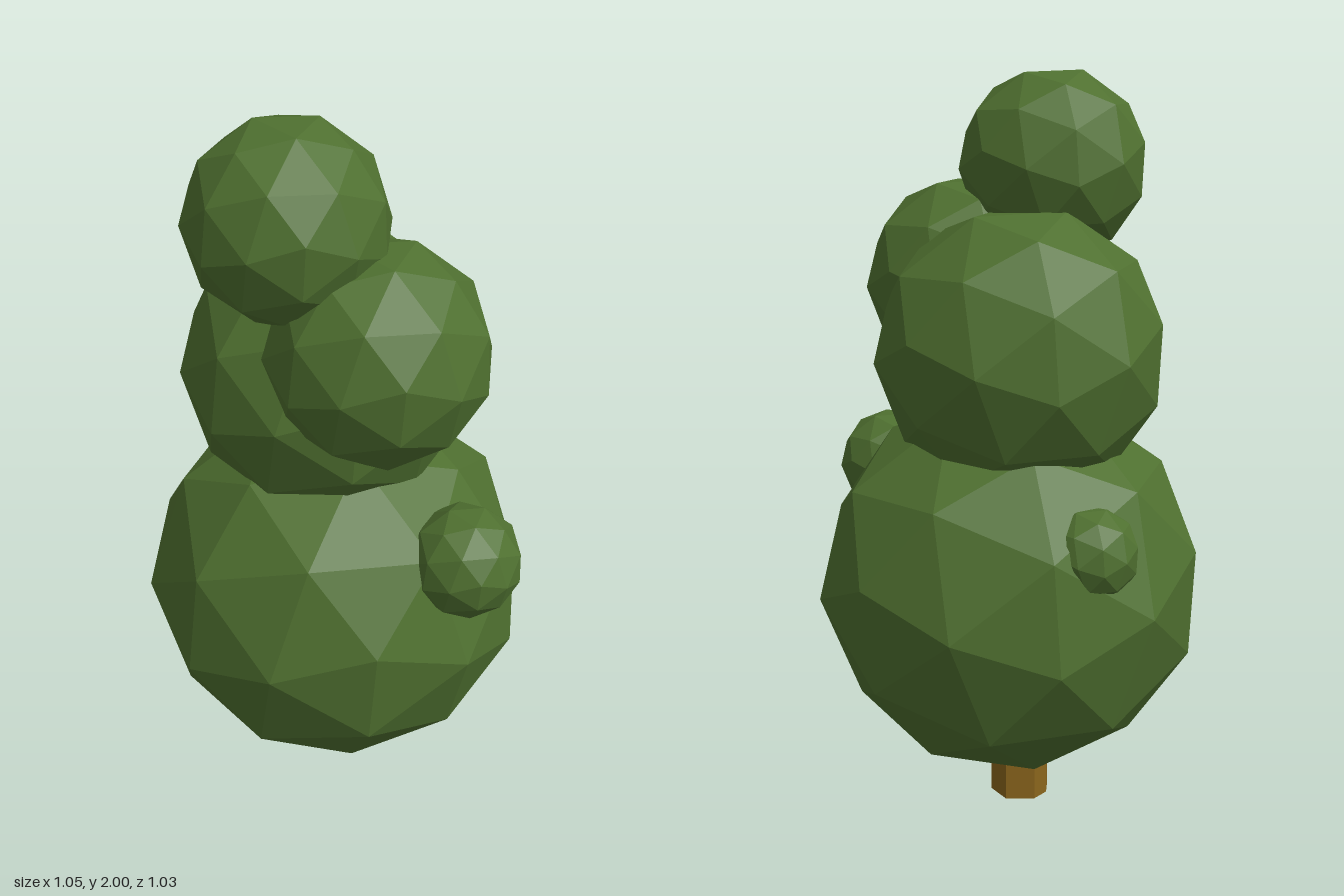
import * as THREE from 'three';

export function createModel() {
  const tree = new THREE.Group();
  tree.name = 'tree';
  const leaf = new THREE.MeshStandardMaterial({ color: 0x4f7030, flatShading: true });
  const bark = new THREE.MeshStandardMaterial({ color: 0x8a651c, flatShading: true });

  // One faceted ball, tilted once and reused for every clump
  const ball = new THREE.IcosahedronGeometry(1, 1);
  ball.applyMatrix4(new THREE.Matrix4().makeBasis(
    new THREE.Vector3(0.977, -0.042, -0.21),
    new THREE.Vector3(0.116, 0.932, 0.344),
    new THREE.Vector3(0.181, -0.361, 0.915)
  ));

  // Foliage clumps: name, radius, centre
  const clumps = [
    ['lowerFoliage', 0.535, 0, 0.62, 0],
    ['middleFoliage', 0.395, -0.025, 1.27, -0.05],
    ['upperSideFoliage', 0.293, 0.107, 1.435, 0.18],
    ['topFoliage', 0.26, -0.117, 1.756, 0.115],
    ['smallFrontFoliage', 0.153, 0.342, 0.885, 0.3],
    ['smallBackFoliage', 0.127, -0.195, 0.8, -0.355],
  ];
  for (const [name, r, x, y, z] of clumps) {
    const clump = new THREE.Mesh(ball, leaf);
    clump.name = name;
    clump.scale.setScalar(r);
    clump.position.set(x, y, z);
    tree.add(clump);
  }

  // Short trunk with a notch in one front corner; shape y becomes -z
  const outline = [
    [0.055, -0.055], [0.02, 0.012], [-0.06, 0.012], [-0.07, -0.025],
    [-0.105, -0.03], [-0.1, -0.08], [-0.065, -0.12], [0.015, -0.12],
  ].map(([x, z]) => new THREE.Vector2(x, -z));
  const trunkGeometry = new THREE.ExtrudeGeometry(new THREE.Shape(outline), { depth: 0.35, bevelEnabled: false });
  trunkGeometry.rotateX(-Math.PI / 2);
  const trunk = new THREE.Mesh(trunkGeometry, bark);
  trunk.name = 'trunk';
  tree.add(trunk);

  return tree;
}
